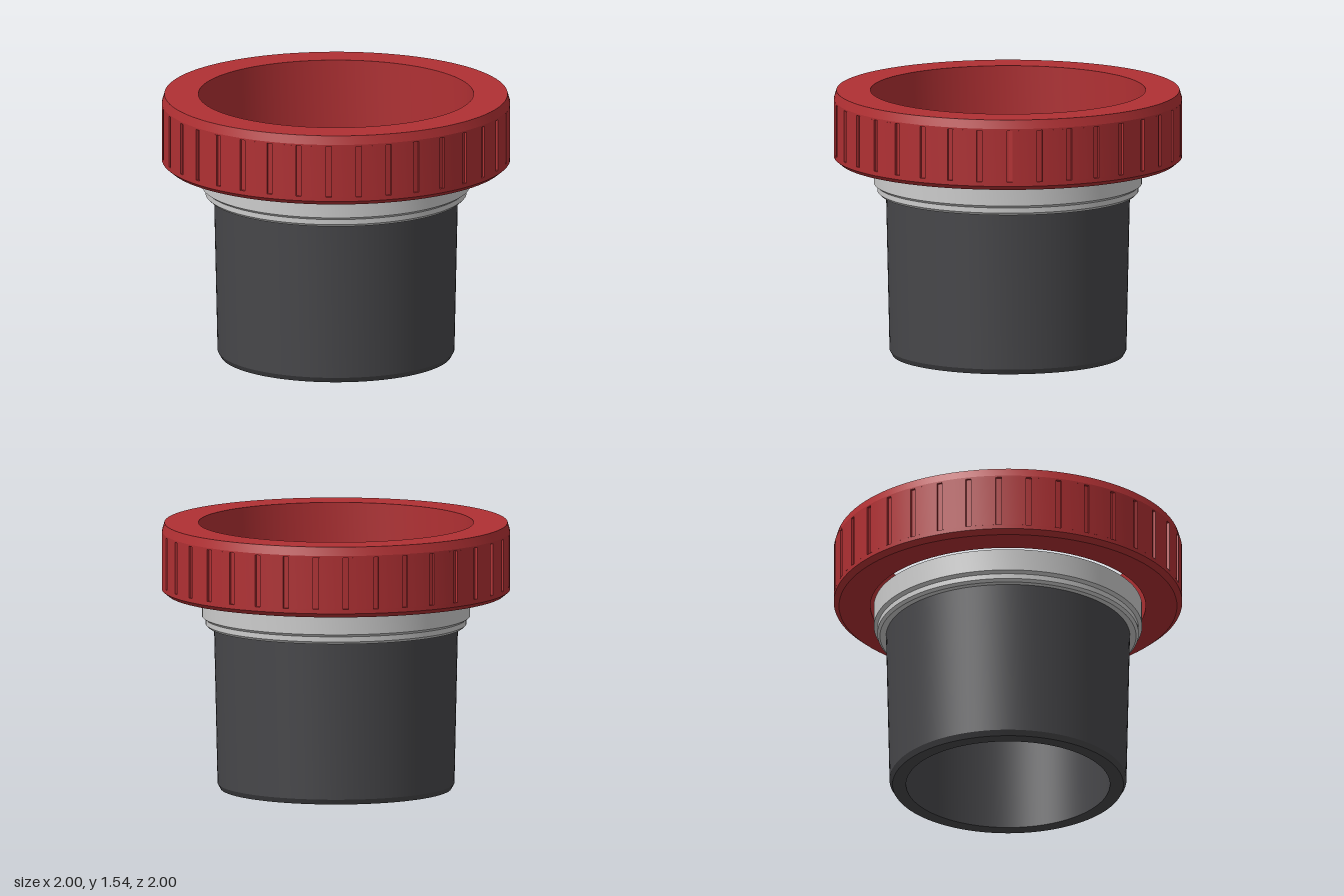
import * as THREE from 'three';
import { toCreasedNormals } from 'three/addons/utils/BufferGeometryUtils.js';

const SEGMENTS = 108;
const material = (color) => new THREE.MeshStandardMaterial({ color });

function part(name, geometry, mat) {
  const mesh = new THREE.Mesh(toCreasedNormals(geometry, 0.25), mat);
  mesh.name = name;
  return mesh;
}

// Profile of [radius, height] pairs, listed outer side upwards.
function turned(name, profile, mat) {
  const points = profile.map(([r, y]) => new THREE.Vector2(r, y));
  return part(name, new THREE.LatheGeometry(points, SEGMENTS), mat);
}

// Band whose outer face is cut by evenly spaced vertical grip slots.
function slottedBand(inner, floor, outer, height, count, halfAngle) {
  const shape = new THREE.Shape();
  const step = (Math.PI * 2) / count;
  for (let i = 0; i < count; i++) {
    const a = i * step + halfAngle;
    const b = (i + 1) * step - halfAngle;
    const from = [floor * Math.cos(a), floor * Math.sin(a)];
    if (i === 0) shape.moveTo(...from);
    else shape.lineTo(...from);
    shape.absarc(0, 0, outer, a, b, false);
    shape.lineTo(floor * Math.cos(b), floor * Math.sin(b));
  }
  shape.closePath();
  const hole = [];
  for (let i = 0; i < SEGMENTS; i++) {
    const a = (-i / SEGMENTS) * Math.PI * 2;
    hole.push(new THREE.Vector2(inner * Math.cos(a), inner * Math.sin(a)));
  }
  shape.holes.push(new THREE.Path(hole));
  return new THREE.ExtrudeGeometry(shape, { depth: height, bevelEnabled: false, curveSegments: 2 })
    .rotateX(-Math.PI / 2);
}

export function createModel() {
  const model = new THREE.Group();
  model.name = 'threadedCoupling';
  const red = material(0xb03033);
  const dark = material(0x47474a);
  const grey = material(0xcccccc);

  // Loose collar nut, recessed in the middle to form the slot floors
  const nut = new THREE.Group();
  nut.name = 'collarNut';
  nut.add(turned('collarBody', [
    [0.79, 1.13], [0.97, 1.13], [1, 1.155], [1, 1.18], [0.985, 1.18],
    [0.985, 1.48], [1, 1.48], [1, 1.49], [0.985, 1.54], [0.79, 1.54], [0.79, 1.13],
  ], red));
  const grip = part('collarGrip', slottedBand(0.96, 0.98, 1, 0.3, 36, 0.016), red);
  grip.position.y = 1.18;
  nut.add(grip);
  model.add(nut);

  // Solid stepped flange closing the top of the pipe
  model.add(turned('flange', [
    [0, 0.94], [0.735, 0.94], [0.75, 0.955], [0.75, 0.985],
    [0.77, 1], [0.77, 1.13], [0, 1.13],
  ], grey));

  // Slightly tapered hollow pipe
  model.add(turned('pipe', [
    [0.585, 0], [0.663, 0], [0.68, 0.03], [0.7, 0.94], [0.585, 0.94], [0.585, 0],
  ], dark));

  return model;
}
